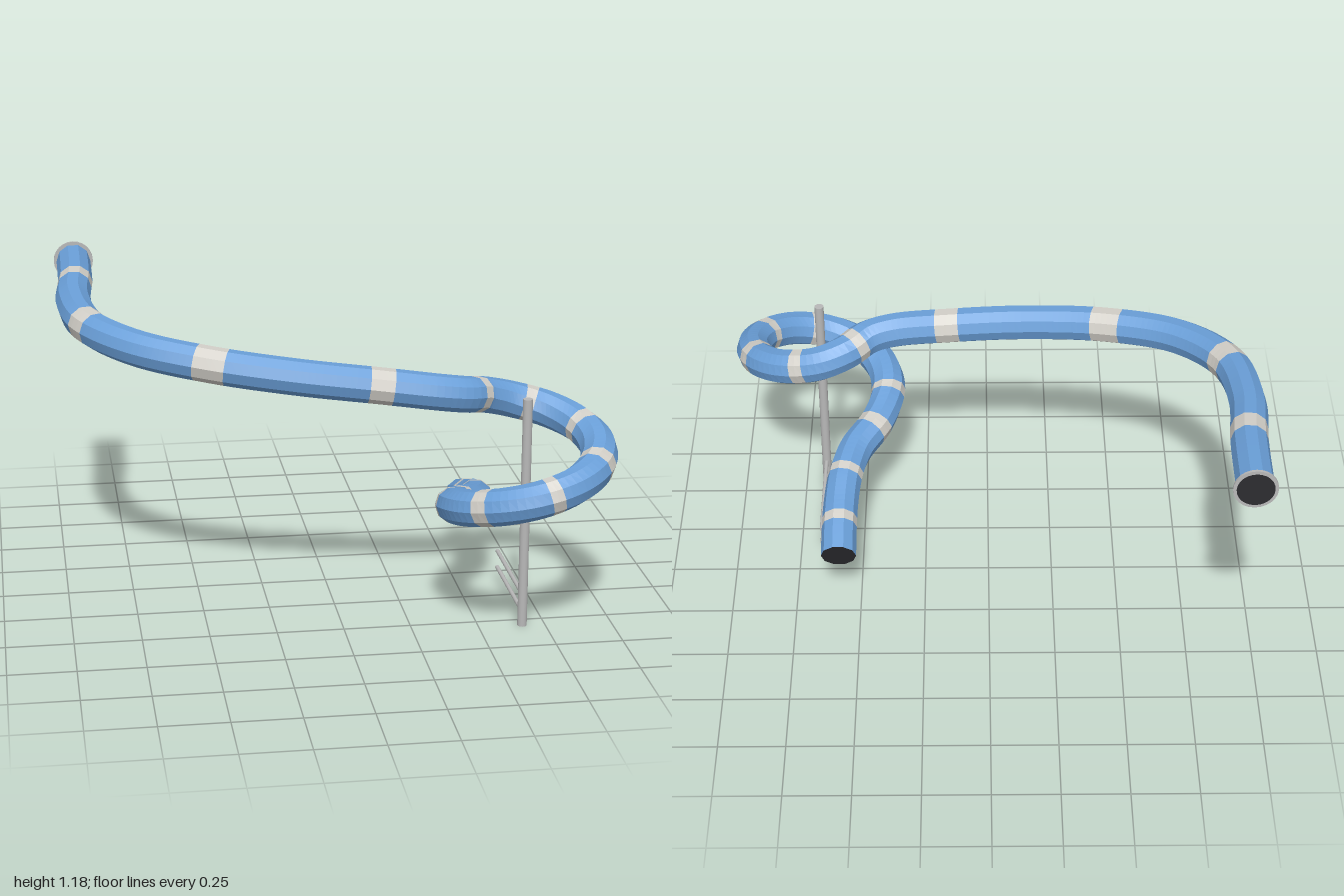
import * as THREE from 'three';

const RADIUS = 0.068, SIDES = 10, STEP = 0.025;
const mat = (name, color, flatShading) => {
  const m = new THREE.MeshStandardMaterial({ color, flatShading });
  m.name = name;
  return m;
};

// Centre line: long run, one helical turn, then a sloping exit
function slideCurve() {
  const p = [
    [-0.91, 1.097, -0.875], [-0.915, 1.085, -0.6], [-0.932, 1.068, -0.33], [-0.885, 1.045, -0.06],
    [-0.72, 1.015, 0.15], [-0.46, 0.98, 0.28], [-0.15, 0.942, 0.355], [0.16, 0.905, 0.388],
    [0.37, 0.876, 0.4], [0.47, 0.857, 0.378], [0.555, 0.832, 0.312],
  ];
  for (let a = 0; a <= 270; a += 30) {
    const r = THREE.MathUtils.degToRad(a);
    p.push([0.665 + 0.265 * Math.sin(r), 0.8 - 0.313 * a / 270, 0.547 - 0.265 * Math.cos(r)]);
  }
  p.push([0.44, 0.437, 0.4], [0.527, 0.395, 0.26], [0.563, 0.364, 0.13],
    [0.577, 0.322, 0.01], [0.58, 0.291, -0.09], [0.58, 0.247, -0.213]);
  return new THREE.CatmullRomCurve3(p.map(q => new THREE.Vector3(...q)));
}

// Open faceted tube between two distances along the curve, kept level to the ground
function tubeSection(curve, length, from, to) {
  const rings = Math.max(1, Math.round((to - from) / STEP));
  const pos = [], index = [];
  for (let i = 0; i <= rings; i++) {
    const u = THREE.MathUtils.clamp((from + (to - from) * i / rings) / length, 0, 1);
    const c = curve.getPointAt(u), t = curve.getTangentAt(u);
    const side = new THREE.Vector3().crossVectors(t, new THREE.Vector3(0, 1, 0)).normalize();
    const up = new THREE.Vector3().crossVectors(side, t);
    for (let j = 0; j < SIDES; j++) {
      const a = j / SIDES * Math.PI * 2;
      const v = c.clone().addScaledVector(side, RADIUS * Math.cos(a)).addScaledVector(up, RADIUS * Math.sin(a));
      pos.push(v.x, v.y, v.z);
      if (i === rings) continue;
      const k = (j + 1) % SIDES, b = i * SIDES, n = b + SIDES;
      index.push(b + j, n + j, b + k, b + k, n + j, n + k);
    }
  }
  const g = new THREE.BufferGeometry();
  g.setAttribute('position', new THREE.Float32BufferAttribute(pos, 3));
  g.setIndex(index);
  g.computeVertexNormals();
  return g;
}

export function createModel() {
  const model = new THREE.Group();
  model.name = 'tubeSlide';
  const blue = mat('slideBlue', 0x6a9fd8, true);
  const pale = mat('bandGrey', 0xd2cfc8, true);
  const steel = mat('steelGrey', 0xb8b8b8, false);
  const dark = mat('openingDark', 0x2c2c30, false);
  blue.side = pale.side = THREE.DoubleSide;
  const add = (name, geometry, material) => {
    const m = new THREE.Mesh(geometry, material);
    m.name = name;
    model.add(m);
    return m;
  };

  const curve = slideCurve();
  curve.arcLengthDivisions = 1000;
  const length = curve.getLength();
  const samples = curve.getSpacedPoints(1000);
  const nearest = q => {
    let best = 0;
    samples.forEach((s, i) => { if (s.distanceTo(q) < samples[best].distanceTo(q)) best = i; });
    return best / 1000 * length;
  };

  // Joint bands: position on the tube and width
  const bands = [
    [-0.918, 1.08, -0.545, 0.08], [-0.885, 1.045, -0.06, 0.085], [-0.46, 0.98, 0.28, 0.115],
    [0.155, 0.905, 0.388, 0.09], [0.52, 0.842, 0.345, 0.045], [0.73, 0.79, 0.29, 0.045],
    [0.905, 0.735, 0.43, 0.05], [0.895, 0.655, 0.68, 0.05], [0.705, 0.61, 0.81, 0.04],
    [0.485, 0.54, 0.74, 0.05], [0.40, 0.48, 0.53, 0.035], [0.46, 0.43, 0.37, 0.05],
    [0.562, 0.365, 0.14, 0.035], [0.58, 0.295, -0.07, 0.04],
  ];
  let start = 0;
  for (const [x, y, z, w] of bands) {
    const mid = nearest(new THREE.Vector3(x, y, z));
    add('slideTube', tubeSection(curve, length, start, mid - w / 2), blue);
    add('jointBand', tubeSection(curve, length, mid - w / 2, mid + w / 2), pale);
    start = mid + w / 2;
  }
  add('slideTube', tubeSection(curve, length, start, length), blue);

  // Entry flange and the dark openings at both ends
  const flange = add('entryFlange', new THREE.CylinderGeometry(0.079, 0.079, 0.01, 24), steel);
  flange.rotation.x = Math.PI / 2;
  flange.position.set(-0.91, 1.097, -0.875);
  const entry = add('entryOpening', new THREE.CircleGeometry(0.067, 24), dark);
  entry.position.set(-0.91, 1.097, -0.8815);
  entry.rotation.y = Math.PI;
  const exit = add('exitOpening', new THREE.CircleGeometry(RADIUS, SIDES), dark);
  const end = curve.getPointAt(1);
  exit.position.copy(end);
  exit.lookAt(end.clone().add(curve.getTangentAt(1)));

  // Support post with two ground rails
  const post = add('supportPost', new THREE.CylinderGeometry(0.018, 0.018, 0.885, 16), steel);
  post.position.set(0.664, 0.4425, 0.553);
  for (const y of [0.055, 0.122]) {
    const rail = add('groundRail', new THREE.CylinderGeometry(0.008, 0.008, 0.455, 16), steel);
    rail.rotation.x = Math.PI / 2;
    rail.position.set(0.664, y, 0.325);
  }
  return model;
}
